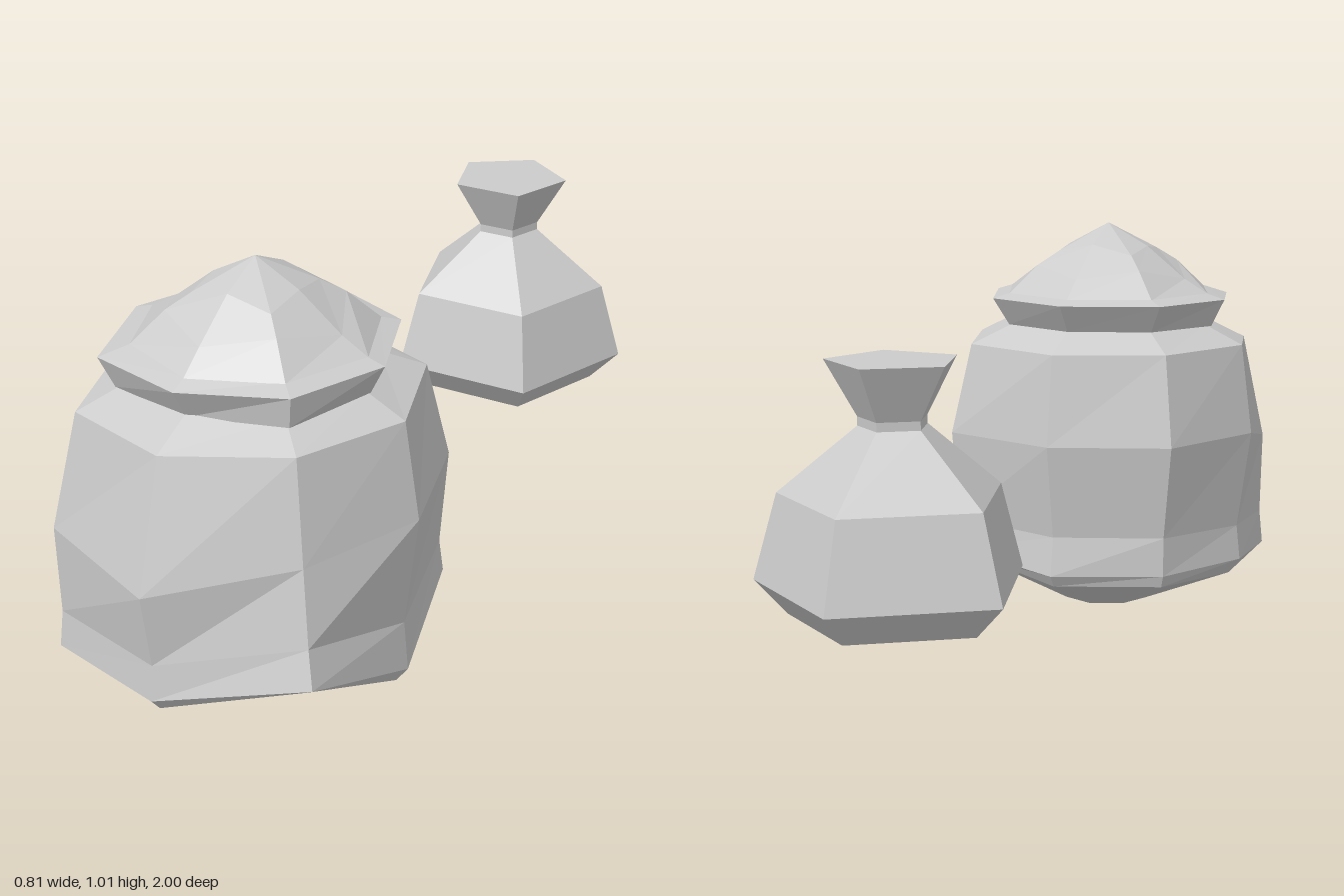
import * as THREE from 'three';

const material = new THREE.MeshStandardMaterial({ color: 0xcccccc, flatShading: true });
const at = (v, i) => (Array.isArray(v) ? v[i % v.length] : v);

// One cross-section: radii and heights may be one number or one per corner.
function ring(sides, radii, heights, turn = 0, shiftX = 0) {
  return Array.from({ length: sides }, (_, i) => {
    const a = turn + (i / sides) * Math.PI * 2;
    return new THREE.Vector3(
      at(radii, i) * Math.sin(a) + shiftX, at(heights, i), at(radii, i) * Math.cos(a));
  });
}

// Joins cross-sections from bottom to top and closes both ends.
// The end closing on the top may be raised to a peak.
function loft(name, rings, peak = 0) {
  const n = rings[0].length;
  const points = rings.flat();
  const index = [];
  for (let r = 0; r < rings.length - 1; r++) {
    for (let i = 0; i < n; i++) {
      const j = (i + 1) % n;
      const a = r * n + i, b = r * n + j, c = b + n, d = a + n;
      index.push(a, b, c, a, c, d);
    }
  }
  const centre = (pts) => pts
    .reduce((s, p) => s.add(p), new THREE.Vector3()).divideScalar(n);
  const last = (rings.length - 1) * n;
  const bottom = points.push(centre(rings[0])) - 1;
  const topPoint = centre(rings[rings.length - 1]);
  if (peak) topPoint.set(0, peak, 0);
  const top = points.push(topPoint) - 1;
  for (let i = 0; i < n; i++) {
    const j = (i + 1) % n;
    index.push(j, i, bottom, last + i, last + j, top);
  }
  const geometry = new THREE.BufferGeometry().setFromPoints(points);
  geometry.setIndex(index);
  const flat = geometry.toNonIndexed();
  flat.computeVertexNormals();
  const mesh = new THREE.Mesh(flat, material);
  mesh.name = name;
  return mesh;
}

export function createModel() {
  const model = new THREE.Group();
  model.name = 'sacks';

  // Big open sack; corners run front, left-front, left, ... around the back
  const sack = new THREE.Group();
  sack.name = 'openSack';
  sack.position.z = 0.53;
  sack.add(loft('sackBody', [
    ring(8, 0.115, 0.005),
    ring(8, [0.42, 0.43, 0.35, 0.37, 0.36, 0.36, 0.35, 0.42],
      [0.105, 0.18, 0.05, 0.14, 0.11, 0.11, 0.1, 0.08]),
    ring(8, [0.45, 0.48, 0.38, 0.43, 0.38, 0.37, 0.38, 0.475],
      [0.14, 0.215, 0.09, 0.17, 0.14, 0.14, 0.14, 0.11]),
    ring(8, [0.44, 0.45, 0.37, 0.42, 0.365, 0.37, 0.37, 0.465],
      [0.225, 0.3, 0.21, 0.25, 0.24, 0.24, 0.23, 0.2]),
    ring(8, [0.47, 0.415, 0.405, 0.44, 0.405, 0.41, 0.405, 0.47],
      [0.407, 0.475, 0.48, 0.48, 0.48, 0.48, 0.48, 0.415]),
    ring(8, [0.385, 0.37, 0.37, 0.385, 0.375, 0.37, 0.375, 0.405],
      [0.705, 0.713, 0.71, 0.71, 0.71, 0.71, 0.71, 0.693]),
    ring(8, 0.275, 0.757),
  ]));

  // Flared rim of the sack
  sack.add(loft('sackRim', [
    ring(8, [0.275, 0.31, 0.285, 0.28, 0.275, 0.28, 0.29, 0.315],
      [0.747, 0.752, 0.757, 0.757, 0.757, 0.757, 0.755, 0.742]),
    ring(8, [0.32, 0.325, 0.32, 0.325, 0.325, 0.33, 0.325, 0.35],
      [0.822, 0.825, 0.826, 0.827, 0.827, 0.827, 0.825, 0.816]),
    ring(8, 0.275, 0.84),
  ]));

  // Lumpy heap of contents
  sack.add(loft('heap', [
    ring(8, 0.28, 0.838),
    ring(8, [0.22, 0.2, 0.215, 0.2], [0.885, 0.905, 0.875, 0.91]),
    ring(8, [0.11, 0.15, 0.11, 0.14], [0.965, 0.94, 0.957, 0.945]),
  ], 1.015));
  model.add(sack);

  // Small tied pouch with five sides, one corner at the back
  const profile = [
    [0.066, 0.22], [0.24, 0.25], [0.315, 0.325], [0.26, 0.52],
    [0.08, 0.67], [0.08, 0.69], [0.152, 0.813],
  ];
  const pouch = loft('tiedPouch', profile.map(([r, y]) => ring(5, r, y, Math.PI)));
  pouch.position.z = -0.688;
  model.add(pouch);

  return model;
}
